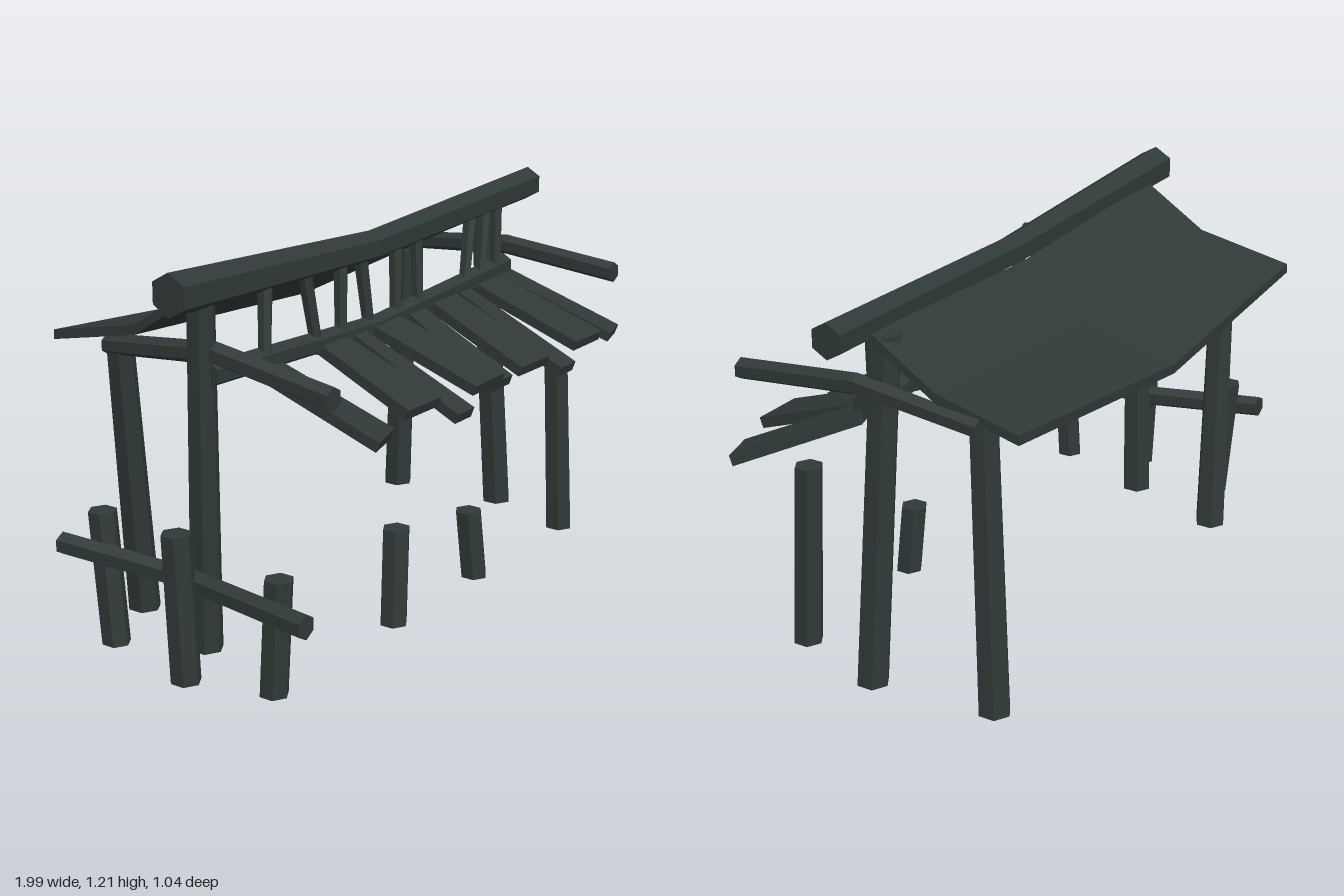
import * as THREE from 'three';

const UP = new THREE.Vector3(0, 1, 0);

// Gives every face its own normal for a low-poly look
function faceted(geometry) {
  const flat = geometry.toNonIndexed();
  flat.computeVertexNormals();
  return flat;
}

// Replaces each vertex with the result of rule(vertex)
function reshape(geometry, rule) {
  const pos = geometry.attributes.position;
  const v = new THREE.Vector3();
  for (let i = 0; i < pos.count; i++) {
    v.fromBufferAttribute(pos, i);
    pos.setXYZ(i, ...rule(v));
  }
  return faceted(geometry);
}

// Six-sided log through points [x, y, z, radius]; rings stay square to the axis
function logGeometry(points, axis, turn = 0) {
  const n = points.length - 1;
  const q = new THREE.Quaternion().setFromUnitVectors(UP, axis);
  const geometry = new THREE.CylinderGeometry(1, 1, 1, 6, n, false, turn);
  return reshape(geometry, (v) => {
    const [x, y, z, r] = points[Math.round((v.y + 0.5) * n)];
    const o = new THREE.Vector3(v.x * r, 0, v.z * r).applyQuaternion(q);
    return [x + o.x, y + o.y, z + o.z];
  });
}

export function createModel() {
  const group = new THREE.Group();
  const wood = new THREE.MeshStandardMaterial({ color: 0x2f3937 });
  wood.name = 'dark weathered wood';
  const X = new THREE.Vector3(1, 0, 0);
  const Z = new THREE.Vector3(0, 0, 1);

  const add = (name, geometry) => {
    const mesh = new THREE.Mesh(geometry, wood);
    mesh.name = name;
    group.add(mesh);
  };
  const post = (name, bottom, top, r, rTop = r) =>
    add(name, logGeometry([[...bottom, r], [...top, rTop]], UP));

  // Sagging ridge and the lower cross beam
  add('ridgeBeam', logGeometry(
    [[-0.94, 1.145, 0.055, 0.065], [0, 1.107, 0.07, 0.05], [1, 1.143, 0.05, 0.055]], X, Math.PI / 6));
  add('crossBeam', logGeometry(
    [[-0.78, 0.88, 0.06, 0.038], [0, 0.85, 0.08, 0.035], [0.83, 0.885, 0.06, 0.038]], X, Math.PI / 6));

  // Side beams running front to back
  add('leftSideBeam', logGeometry(
    [[0.85, 0.915, -0.345, 0.03], [0.835, 0.955, 0.07, 0.034], [0.835, 0.915, 0.49, 0.034]], Z));
  add('rightSideBeam', logGeometry(
    [[-0.755, 0.9, -0.345, 0.032], [-0.755, 0.94, 0.07, 0.035], [-0.755, 0.877, 0.48, 0.037]], Z));

  // Main posts
  post('frontLeftPost', [0.855, 0, 0.04], [0.79, 1.11, 0], 0.052, 0.048);
  post('frontRightPost', [-0.738, 0, -0.005], [-0.778, 1.1, 0.035], 0.052, 0.043);
  post('backLeftPost', [0.81, 0, -0.36], [0.78, 0.9, -0.315], 0.052, 0.046);
  post('backRightPost', [-0.615, 0, -0.36], [-0.735, 0.91, -0.315], 0.052, 0.043);

  // Thin struts between cross beam and ridge: [bottom x, top x]
  const struts = [[-0.55, -0.52], [-0.285, -0.335], [-0.165, -0.145], [-0.01, -0.045],
    [0.135, 0.155], [0.265, 0.272], [0.54, 0.6], [0.64, 0.69], [0.745, 0.765]];
  for (const [x0, x1] of struts) post('strut', [x0, 0.83, 0.08], [x1, 1.11, 0.065], 0.02, 0.024);

  // Bent back roof, lowest along its middle
  const roofDepth = [[-0.51, 0.925], [-0.2, 0.99], [0.01, 1.125]];
  add('roof', reshape(new THREE.BoxGeometry(2, 1, 2, 2, 1, 2), (v) => {
    const row = Math.round(v.z) + 1;
    let [z, y] = roofDepth[row];
    if (row === 0) z = v.x > 0.5 ? -0.47 : -0.52;
    const sag = Math.abs(v.x) < 0.5 ? [0.072, 0.05, 0.035][row] : 0;
    return [0.025 + v.x * 0.825, y - sag + (v.y < 0 ? -0.03 : 0), z];
  }));

  // Front awning planks: [top x, top width, end x, end width, end y, end z]
  const planks = [
    [-0.55, 0.115, -0.438, 0.135, 0.662, 0.435], [-0.23, 0.125, -0.24, 0.17, 0.708, 0.437],
    [-0.1, 0.06, -0.102, 0.09, 0.66, 0.495], [0.05, 0.15, 0.052, 0.17, 0.718, 0.485],
    [0.222, 0.09, 0.218, 0.122, 0.667, 0.428], [0.395, 0.14, 0.383, 0.165, 0.69, 0.452],
    [0.522, 0.07, 0.523, 0.095, 0.653, 0.495], [0.68, 0.155, 0.678, 0.17, 0.712, 0.485],
    [0.8, 0.1, 0.912, 0.115, 0.68, 0.455]];
  for (const [x0, w0, x1, w1, y1, z1] of planks) {
    add('awningPlank', reshape(new THREE.BoxGeometry(1, 1, 1), (v) => {
      const t = v.z + 0.5;
      const w = THREE.MathUtils.lerp(w0, w1, t);
      return [
        THREE.MathUtils.lerp(x0, x1, t) + v.x * w,
        THREE.MathUtils.lerp(0.855, y1, t) + v.y * 0.032,
        THREE.MathUtils.lerp(0.07, z1, t) - v.x * w * (x1 - x0) / 0.4 + v.y * 0.012];
    }));
  }

  // Short stakes along the front
  post('tallFrontStake', [0.755, 0, 0.355], [0.742, 0.6, 0.332], 0.048, 0.045);
  post('frontStake', [-0.263, 0, 0.35], [-0.237, 0.305, 0.34], 0.045);
  post('frontStake', [0.205, 0, 0.35], [0.188, 0.23, 0.335], 0.045);

  // Side fence with a bent rail
  post('fenceStake', [-0.95, 0, 0.09], [-0.953, 0.455, 0.07], 0.047);
  post('fenceStake', [-0.865, 0, -0.255], [-0.867, 0.42, -0.29], 0.045);
  post('fenceStake', [-0.87, 0, 0.35], [-0.868, 0.36, 0.37], 0.045);
  add('fenceRail', logGeometry(
    [[-0.945, 0.32, -0.38, 0.036], [-0.888, 0.292, 0.04, 0.036], [-0.942, 0.278, 0.52, 0.038]], Z));

  return group;
}
